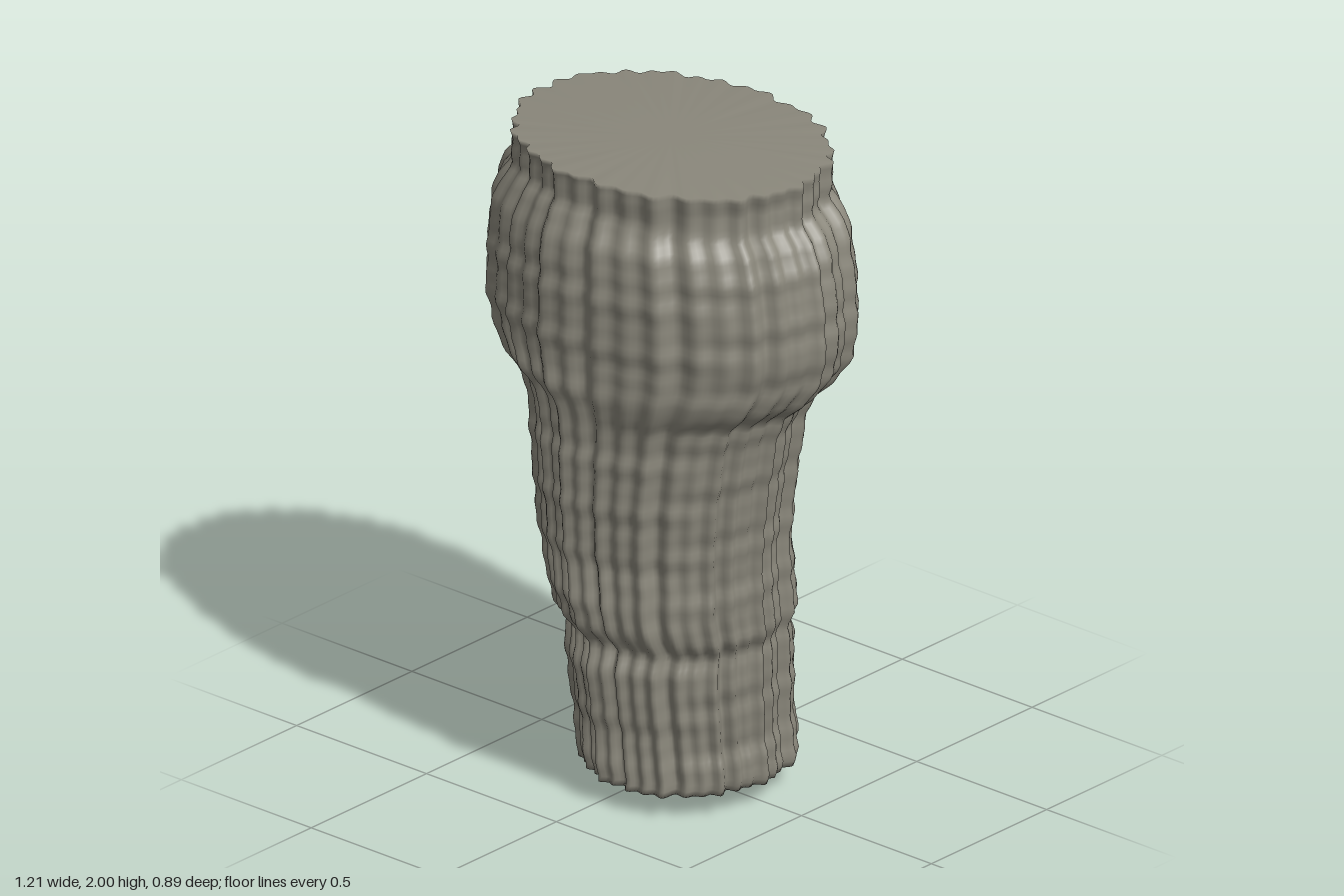
import * as THREE from 'three';

// cross-sections, bottom to top: y, x min, x max, z min, z max
const SECTIONS = [
  [0.07, -0.235, 0.375, -0.31, 0.325], [0.1, -0.24, 0.385, -0.32, 0.33],
  [0.2, -0.25, 0.37, -0.31, 0.325], [0.4, -0.265, 0.375, -0.315, 0.355],
  [0.46, -0.27, 0.375, -0.305, 0.35], [0.51, -0.278, 0.375, -0.295, 0.335],
  [0.56, -0.3, 0.39, -0.32, 0.375], [0.64, -0.315, 0.39, -0.325, 0.4],
  [0.73, -0.34, 0.39, -0.305, 0.39], [0.8, -0.36, 0.39, -0.305, 0.395],
  [1.0, -0.375, 0.41, -0.32, 0.41], [1.2, -0.4, 0.445, -0.33, 0.41],
  [1.26, -0.42, 0.465, -0.345, 0.415], [1.32, -0.5, 0.535, -0.39, 0.44],
  [1.4, -0.57, 0.58, -0.435, 0.435], [1.48, -0.6, 0.6, -0.44, 0.44],
  [1.62, -0.595, 0.597, -0.44, 0.44], [1.74, -0.585, 0.58, -0.435, 0.435],
  [1.82, -0.565, 0.55, -0.43, 0.42], [1.86, -0.53, 0.51, -0.42, 0.4],
  [1.89, -0.515, 0.495, -0.395, 0.38], [1.95, -0.515, 0.5, -0.405, 0.385],
  [2.0, -0.515, 0.505, -0.41, 0.395],
];

const AROUND = 216;
const UP = 110;

// blend neighbouring sections at height y
function sectionAt(y) {
  let k = 0;
  while (k < SECTIONS.length - 2 && SECTIONS[k + 1][0] < y) k++;
  const a = SECTIONS[k], b = SECTIONS[k + 1];
  const t = (y - a[0]) / (b[0] - a[0]);
  return a.map((v, n) => v + (b[n] - v) * t);
}

// uneven vertical ridges with faint horizontal growth rings
function ridge(angle, y) {
  const drift = 0.25 * Math.sin(y * 5 + 3 * Math.cos(angle));
  const flutes = 0.009 * Math.sin(37 * angle + 1.6 * Math.sin(3 * angle) + drift)
    + 0.007 * Math.sin(23 * angle + 2 * Math.sin(2 * angle) + drift)
    + 0.005 * Math.sin(11 * angle + 1);
  const rings = 0.0025 * Math.sin(y * 47 + Math.sin(angle * 4)) + 0.002 * Math.sin(y * 83 + angle * 2);
  return flutes + rings - 0.01;
}

function trunkGeometry() {
  const points = [], index = [];
  const y0 = SECTIONS[0][0];
  for (let j = 0; j <= UP; j++) {
    const y = y0 + (2 - y0) * j / UP;
    const [, x0, x1, z0, z1] = sectionAt(y);
    for (let i = 0; i < AROUND; i++) {
      const angle = i / AROUND * Math.PI * 2;
      const r = ridge(angle, y);
      points.push(
        (x0 + x1) / 2 + ((x1 - x0) / 2 + r) * Math.cos(angle), y,
        (z0 + z1) / 2 + ((z1 - z0) / 2 + r) * Math.sin(angle));
    }
  }
  // side wall
  for (let j = 0; j < UP; j++) {
    for (let i = 0; i < AROUND; i++) {
      const n = (i + 1) % AROUND;
      const a = j * AROUND + i, c = j * AROUND + n;
      index.push(a, a + AROUND, c, c, a + AROUND, c + AROUND);
    }
  }
  // pointed underside and flat top share the rim, so ridges fade into spokes
  const bottom = points.length / 3, top = bottom + 1;
  points.push(0.02, 0, 0, 0, 2, 0);
  for (let i = 0; i < AROUND; i++) {
    const n = (i + 1) % AROUND, rim = UP * AROUND;
    index.push(bottom, i, n, top, rim + n, rim + i);
  }
  const geometry = new THREE.BufferGeometry();
  geometry.setAttribute('position', new THREE.Float32BufferAttribute(points, 3));
  geometry.setIndex(index);
  geometry.computeVertexNormals();
  return geometry;
}

export function createModel() {
  const group = new THREE.Group();
  const stone = new THREE.MeshStandardMaterial({ color: 0x8a877b });
  stone.name = 'stoneGrey';
  const trunk = new THREE.Mesh(trunkGeometry(), stone);
  trunk.name = 'ridgedTrunk';
  group.add(trunk);
  return group;
}
